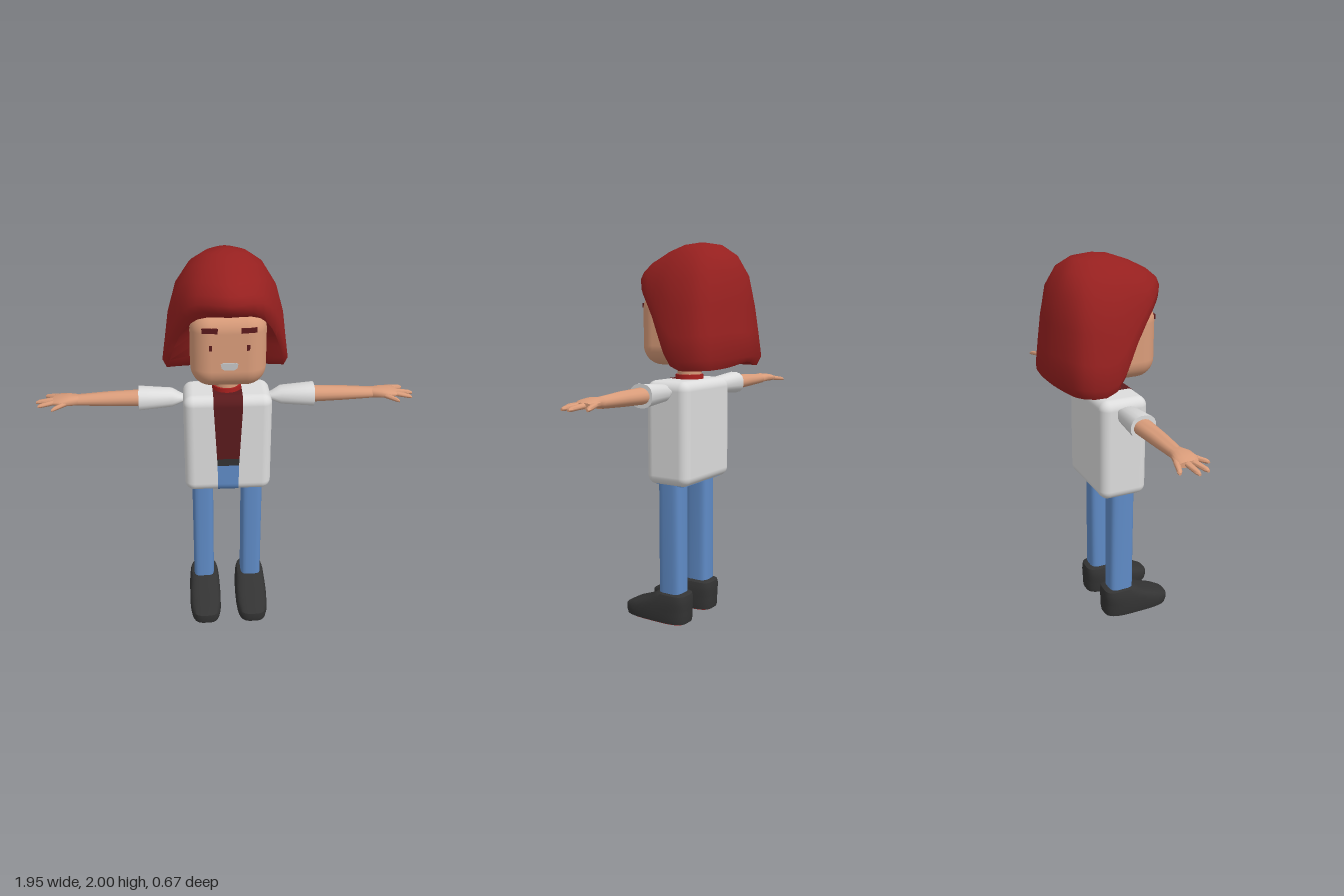
import * as THREE from 'three';
import { toCreasedNormals } from 'three/addons/utils/BufferGeometryUtils.js';
import { RoundedBoxGeometry } from 'three/addons/geometries/RoundedBoxGeometry.js';

const mat = (name, color) => {
  const m = new THREE.MeshStandardMaterial({ color });
  m.name = name;
  return m;
};

// Closed surface through rings of points, capped at both ends
function skinRings(rings, flip, crease) {
  const n = rings[0].length, pos = [], index = [];
  const tri = (a, b, c) => (flip ? index.push(a, c, b) : index.push(a, b, c));
  rings.forEach((r) => r.forEach((p) => pos.push(p.x, p.y, p.z)));
  for (let i = 0; i < rings.length - 1; i++) {
    for (let j = 0; j < n; j++) {
      const a = i * n + j, b = i * n + ((j + 1) % n);
      tri(a, b, b + n);
      tri(a, b + n, a + n);
    }
  }
  [0, rings.length - 1].forEach((i) => {
    const c = new THREE.Vector3();
    rings[i].forEach((p) => c.addScaledVector(p, 1 / n));
    const centre = pos.length / 3;
    pos.push(c.x, c.y, c.z);
    for (let j = 0; j < n; j++) {
      const a = i * n + j, b = i * n + ((j + 1) % n);
      if (i) tri(centre, a, b); else tri(centre, b, a);
    }
  });
  const g = new THREE.BufferGeometry();
  g.setAttribute('position', new THREE.Float32BufferAttribute(pos, 3));
  g.setIndex(index);
  return toCreasedNormals(g, crease);
}

// Superellipse sections [t, centreU, centreV, halfU, halfV] along x (u=y, v=z) or y (u=x, v=z)
function loft(axis, sections, power = 2, side = 1, sides = 16) {
  const bend = (v) => Math.sign(v) * Math.abs(v) ** (2 / power);
  const rings = sections.map(([t, cu, cv, hu, hv]) => Array.from({ length: sides }, (_, j) => {
    const a = ((j + 0.5) / sides) * Math.PI * 2;
    const u = cu + hu * bend(Math.cos(a)), v = cv + hv * bend(Math.sin(a));
    return axis === 'x' ? new THREE.Vector3(side * t, u, v) : new THREE.Vector3(side * u, t, v);
  }));
  return skinRings(rings, (axis === 'y') !== (side < 0), 0.75);
}

// Forward-facing strip through points [y, z, halfWidth], listed top to bottom
function ribbon(points) {
  const pos = [], index = [];
  points.forEach(([y, z, h], i) => {
    pos.push(-h, y, z, h, y, z);
    const a = i * 2;
    if (i) index.push(a - 2, a, a + 1, a - 2, a + 1, a - 1);
  });
  const g = new THREE.BufferGeometry();
  g.setAttribute('position', new THREE.Float32BufferAttribute(pos, 3));
  g.setIndex(index);
  g.computeVertexNormals();
  return g;
}

// Hair meridians from front to back every 30 degrees: [radius, y] from crown to rim
const HAIR = [
  [[0.09, 1.99], [0.19, 1.955], [0.29, 1.905], [0.34, 1.865], [0.355, 1.825], [0.345, 1.785], [0.3, 1.755]],
  [[0.09, 1.99], [0.17, 1.955], [0.25, 1.9], [0.295, 1.85], [0.315, 1.81], [0.315, 1.77], [0.295, 1.735]],
  [[0.1, 1.985], [0.17, 1.94], [0.23, 1.87], [0.265, 1.79], [0.285, 1.7], [0.29, 1.64], [0.275, 1.6]],
  [[0.11, 1.978], [0.18, 1.925], [0.25, 1.81], [0.287, 1.68], [0.305, 1.54], [0.32, 1.43], [0.3, 1.39]],
  [[0.11, 1.978], [0.19, 1.925], [0.265, 1.82], [0.305, 1.68], [0.33, 1.54], [0.35, 1.42], [0.325, 1.37]],
  [[0.11, 1.98], [0.18, 1.935], [0.235, 1.84], [0.262, 1.69], [0.277, 1.55], [0.29, 1.425], [0.265, 1.38]],
  [[0.11, 1.985], [0.17, 1.93], [0.225, 1.83], [0.25, 1.69], [0.265, 1.55], [0.283, 1.43], [0.265, 1.405]],
];

function hairGeometry() {
  const ring = (pick) => {
    const pts = Array.from({ length: 12 }, (_, k) => {
      const [r, y] = pick(HAIR[k <= 6 ? k : 12 - k]);
      const a = (k * Math.PI) / 6;
      return new THREE.Vector3(r * Math.sin(a), y, -0.05 + r * Math.cos(a));
    });
    const curve = new THREE.CatmullRomCurve3(pts, true, 'catmullrom', 0.5);
    return Array.from({ length: 36 }, (_, i) => curve.getPoint(i / 36));
  };
  const rings = [ring(() => [0.02, 2])];
  for (let l = 0; l < 7; l++) rings.push(ring((m) => m[l]));
  // underside turning in towards the head
  rings.push(ring((m) => [m[6][0] * 0.5, m[6][1] + 0.02]));
  return skinRings(rings, true, 1);
}

export function createModel() {
  const model = new THREE.Group();
  model.name = 'character';
  const hair = mat('hair red', 0x96201f);
  const skin = mat('skin', 0xd99c7a);
  const white = mat('jacket white', 0xdcdcdc);
  const blue = mat('denim blue', 0x5f8bc6);
  const black = mat('shoe black', 0x333333);
  const maroon = mat('shirt maroon', 0x5a1a1c);
  const red = mat('collar red', 0xa8201e);
  const grey = mat('mouth grey', 0xc4c4c4);
  const add = (name, geometry, material, x = 0, y = 0, z = 0) => {
    const m = new THREE.Mesh(geometry, material);
    m.name = name;
    m.position.set(x, y, z);
    model.add(m);
    return m;
  };

  // Head and hair
  add('head', new RoundedBoxGeometry(0.37, 0.39, 0.42, 6, 0.1), skin, 0, 1.575, 0.03);
  add('hair', hairGeometry(), hair);
  add('neck', new THREE.CylinderGeometry(0.063, 0.063, 0.12, 20), skin, 0, 1.36, 0.03);
  add('collar', new THREE.CylinderGeometry(0.073, 0.075, 0.03, 20), red, 0, 1.314, 0.03);

  // Mouth
  const lips = new THREE.Shape([[-0.042, 0.014], [-0.03, 0.019], [0.03, 0.019], [0.042, 0.014],
    [0.038, -0.008], [0.022, -0.018], [-0.022, -0.018], [-0.038, -0.008]]
    .map(([x, y]) => new THREE.Vector2(x, y)));
  add('mouth', new THREE.ExtrudeGeometry(lips, { depth: 0.008, bevelEnabled: false }), grey, 0, 1.508, 0.236);

  // Torso
  add('jacket', new RoundedBoxGeometry(0.45, 0.545, 0.26, 5, 0.05), white, 0, 1.0325, 0.035);

  // Open front: shirt, belt and trousers following the rounded torso
  const arc = (cy, from, to, half) => Array.from({ length: 7 }, (_, i) => {
    const a = from + ((to - from) * i) / 6;
    return [cy + 0.053 * Math.sin(a), 0.115 + 0.053 * Math.cos(a), half];
  });
  const q = Math.PI / 2;
  add('shirt', ribbon([[1.308, 0.0, 0.075], ...arc(1.255, q, 0, 0.074), [0.96, 0.168, 0.058]]), maroon);
  add('belt', ribbon([[0.96, 0.168, 0.058], [0.92, 0.168, 0.056]]), black);
  add('trouserFront', ribbon([[0.92, 0.168, 0.056], ...arc(0.81, 0, -q, 0.054)]), blue);
  add('trouserSeat', new THREE.BoxGeometry(0.36, 0.008, 0.17), blue, 0, 0.76, 0.035);

  for (const s of [1, -1]) {
    const label = s > 0 ? 'left' : 'right';

    // Eyes and brows
    add(label + 'Eye', new THREE.BoxGeometry(0.015, 0.028, 0.008), maroon, s * 0.09, 1.602, 0.238);
    add(label + 'Brow', new THREE.BoxGeometry(0.076, 0.024, 0.009), maroon, s * 0.093, 1.687, 0.2365)
      .rotation.y = s * 0.147;

    // Sleeve and arm
    add(label + 'Sleeve', loft('x', [
      [0.2, 1.25, 0.02, 0.01, 0.02], [0.235, 1.25, 0.02, 0.022, 0.035],
      [0.28, 1.253, 0.018, 0.045, 0.055], [0.45, 1.252, 0.017, 0.06, 0.067]], 2.4, s), white);
    add(label + 'Arm', loft('x', [
      [0.4, 1.252, 0.016, 0.043, 0.052], [0.6, 1.252, 0.016, 0.037, 0.045],
      [0.77, 1.25, 0.016, 0.027, 0.036]], 2, s), skin);

    // Hand
    add(label + 'Palm', loft('x', [
      [0.75, 1.25, 0.016, 0.026, 0.033], [0.8, 1.255, 0.02, 0.025, 0.05],
      [0.85, 1.253, 0.016, 0.021, 0.06], [0.885, 1.249, 0.008, 0.014, 0.05]], 2.4, s), skin);
    const fingers = [
      [0.85, -0.03, 0.935, -0.06], [0.86, 0.005, 0.975, 0.012],
      [0.86, 0.035, 0.96, 0.063], [0.8, 0.045, 0.885, 0.11]];
    fingers.forEach(([x0, z0, x1, z1], i) => add(label + 'Finger' + (i + 1), loft('x', [
      [x0, 1.252, z0, 0.014, 0.017],
      [x0 + (x1 - x0) * 0.85, 1.242, z0 + (z1 - z0) * 0.85, 0.011, 0.013],
      [x1, 1.238, z1, 0.006, 0.007]], 2, s, 10), skin));

    // Leg
    add(label + 'Leg', loft('y', [
      [0.12, 0.132, 0.047, 0.056, 0.068], [0.8, 0.132, 0.047, 0.056, 0.068]], 4, s, 20), blue);

    // Shoe: [y, back, front, half width]
    const shoe = [[0.006, -0.047, 0.33, 0.082], [0.03, -0.05, 0.337, 0.086], [0.06, -0.05, 0.335, 0.086],
      [0.085, -0.051, 0.29, 0.086], [0.115, -0.052, 0.21, 0.083], [0.14, -0.051, 0.16, 0.079],
      [0.16, -0.047, 0.135, 0.072], [0.17, -0.03, 0.11, 0.05]];
    add(label + 'Shoe', loft('y', shoe.map(([y, b, f, h]) =>
      [y, 0.13, (b + f) / 2, h, (f - b) / 2]), 3.4, s, 28), black);
    add(label + 'Sole', loft('y', [
      [0, 0.13, 0.142, 0.073, 0.178], [0.008, 0.13, 0.142, 0.073, 0.178]], 3.4, s, 28), hair);
  }
  return model;
}
